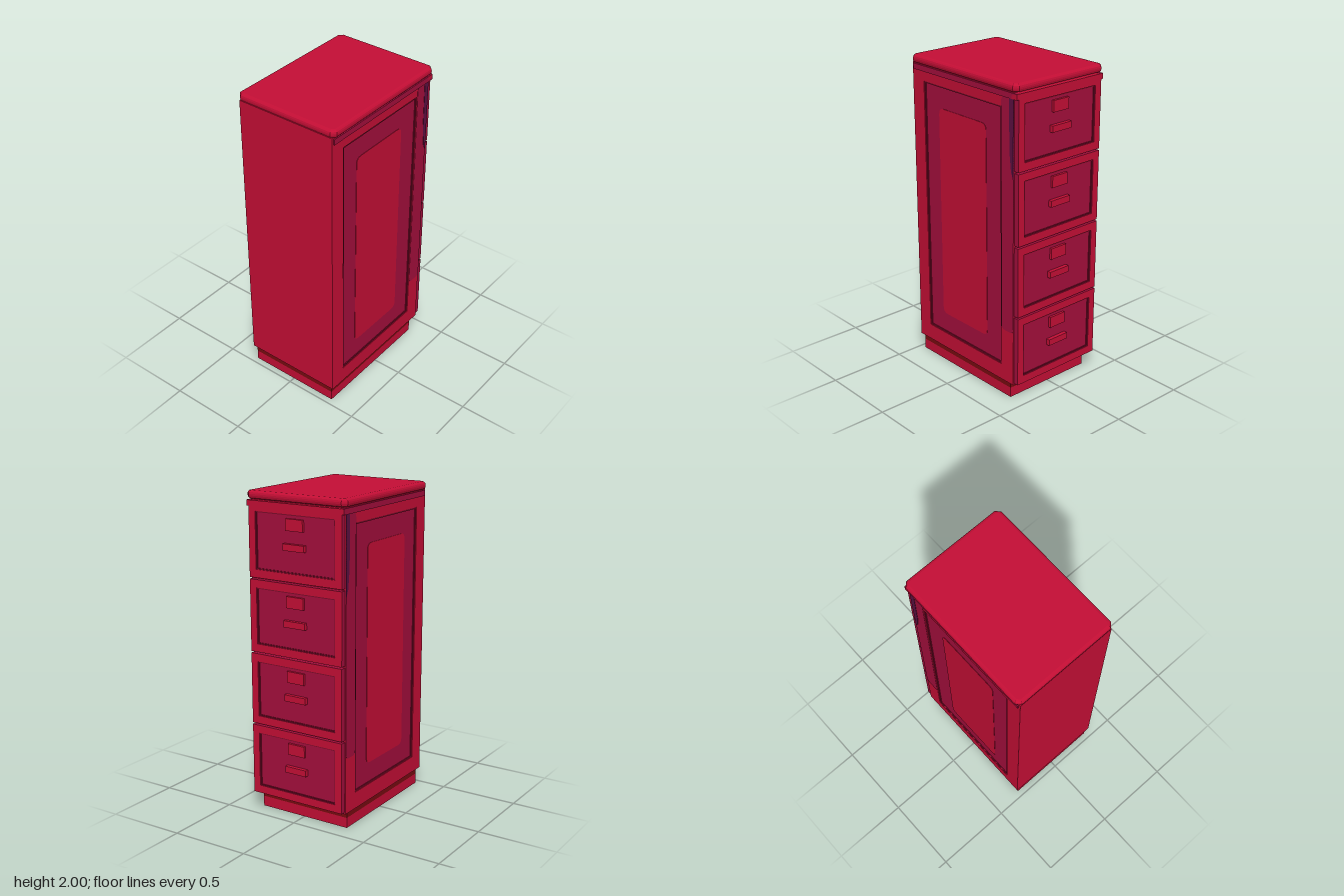
import * as THREE from 'three';

const mat = (name, color) => new THREE.MeshStandardMaterial({ name, color });

// Rectangle outline with optional rounded corners
function rect(target, u0, u1, v0, v1, r = 0) {
  if (!r) {
    target.moveTo(u0, v0).lineTo(u1, v0).lineTo(u1, v1).lineTo(u0, v1).closePath();
    return target;
  }
  target.moveTo(u0 + r, v0).lineTo(u1 - r, v0).quadraticCurveTo(u1, v0, u1, v0 + r);
  target.lineTo(u1, v1 - r).quadraticCurveTo(u1, v1, u1 - r, v1);
  target.lineTo(u0 + r, v1).quadraticCurveTo(u0, v1, u0, v1 - r);
  target.lineTo(u0, v0 + r).quadraticCurveTo(u0, v0, u0 + r, v0);
  return target;
}

function ring(outer, inner) {
  const shape = rect(new THREE.Shape(), ...outer);
  shape.holes.push(rect(new THREE.Path(), ...inner));
  return shape;
}

const extrude = (shape, depth) =>
  new THREE.ExtrudeGeometry(shape, { depth, bevelEnabled: false, curveSegments: 4 });

export function createModel() {
  const red = mat('cabinetRed', 0xc40e35);
  const crimson = mat('panelCrimson', 0xa40e3c);
  const lipRed = mat('darkLipRed', 0x7c0a28);
  const brown = mat('plinthBrown', 0x780b10);
  const plum = mat('darkPlum', 0x5c1042);

  const model = new THREE.Group();
  model.name = 'filingCabinet';

  function add(parent, name, geometry, material, x = 0, y = 0, z = 0) {
    const mesh = new THREE.Mesh(geometry, material);
    mesh.name = name;
    mesh.position.set(x, y, z);
    parent.add(mesh);
    return mesh;
  }
  // Box given by its limits on each axis
  function box(parent, name, material, [x0, x1], [y0, y1], [z0, z1]) {
    return add(parent, name, new THREE.BoxGeometry(x1 - x0, y1 - y0, z1 - z0), material,
      (x0 + x1) / 2, (y0 + y1) / 2, (z0 + z1) / 2);
  }

  // Plinth with a dark upper band
  box(model, 'plinth', red, [-0.31, 0.31], [0, 0.065], [-0.385, 0.46]);
  box(model, 'plinthBand', brown, [-0.31, 0.31], [0.065, 0.11], [-0.385, 0.46]);

  // Carcass core; the side frames complete its width
  box(model, 'carcass', red, [-0.318, 0.318], [0.11, 1.955], [-0.43, 0.473]);

  // Worktop with clipped corners and a rolled edge
  const b = 0.02, c = 0.015, X = 0.347 - b, Z0 = -0.465 + b, Z1 = 0.475 - b;
  const topShape = new THREE.Shape([
    [-X + c, -Z1], [X - c, -Z1], [X, -Z1 + c], [X, -Z0 - c],
    [X - c, -Z0], [-X + c, -Z0], [-X, -Z0 - c], [-X, -Z1 + c],
  ].map(([x, y]) => new THREE.Vector2(x, y)));
  const topGeometry = new THREE.ExtrudeGeometry(topShape, {
    depth: 0.01, bevelThickness: 0.02, bevelSize: b, bevelSegments: 3,
  });
  topGeometry.rotateX(-Math.PI / 2);
  add(model, 'top', topGeometry, red, 0, 1.97, 0);

  // Sides: frame, recessed panel with a lighter field, and rail under the top
  for (const s of [1, -1]) {
    const side = new THREE.Group();
    side.name = s > 0 ? 'leftSide' : 'rightSide';
    model.add(side);
    const span = (a, d) => (s > 0 ? [a, d] : [-d, -a]);
    const plate = (name, shape, material, a, d) => {
      const geometry = extrude(shape, d - a).rotateY(-Math.PI / 2);
      add(side, name, geometry, material, span(a, d)[1]);
    };
    plate('sideFrame', ring([-0.43, 0.473, 0.11, 1.955], [-0.325, 0.37, 0.215, 1.85]),
      red, 0.318, 0.33);
    plate('panelLip', ring([-0.325, 0.37, 0.215, 1.85], [-0.315, 0.36, 0.225, 1.84]),
      lipRed, 0.318, 0.326);
    box(side, 'sidePanel', crimson, span(0.318, 0.32), [0.225, 1.84], [-0.315, 0.36]);
    plate('panelField', rect(new THREE.Shape(), -0.185, 0.24, 0.35, 1.71, 0.04),
      red, 0.319, 0.3225);
    // Darker stile beside the drawers
    plate('stile', rect(new THREE.Shape(), -0.43, -0.327, 0.46, 1.91, 0.03),
      crimson, 0.328, 0.332);
    plate('stileShade', new THREE.Shape([
      [-0.43, 1.44], [-0.412, 1.48], [-0.398, 1.6], [-0.395, 1.91], [-0.43, 1.91],
    ].map(([z, y]) => new THREE.Vector2(z, y))), plum, 0.329, 0.334);
    box(side, 'sideRail', crimson, span(0.318, 0.338), [1.91, 1.945], [-0.462, 0.46]);
  }

  // Rail above the drawers
  box(model, 'drawerRail', red, [-0.338, 0.338], [1.912, 1.944], [-0.464, -0.42]);

  // Four drawers with recessed faces, label plates and pulls
  for (let i = 0; i < 4; i++) {
    const drawer = new THREE.Group();
    drawer.name = 'drawer' + (i + 1);
    drawer.position.y = 0.122 + i * 0.4553;
    model.add(drawer);
    const h = i < 3 ? 0.444 : 0.43;
    box(drawer, 'drawerBody', crimson, [-0.324, 0.324], [0, h], [-0.453, -0.429]);
    add(drawer, 'drawerFrame',
      extrude(ring([-0.324, 0.324, 0, h], [-0.277, 0.277, 0.05, 0.395]), 0.012),
      [red, crimson], 0, 0, -0.464);
    add(drawer, 'faceLip',
      extrude(ring([-0.277, 0.277, 0.05, 0.395], [-0.27, 0.27, 0.057, 0.388]), 0.006),
      lipRed, 0, 0, -0.458);
    box(drawer, 'labelPlate', red, [-0.06, 0.06], [0.3, 0.37], [-0.468, -0.452]);
    box(drawer, 'pull', red, [-0.075, 0.075], [0.185, 0.225], [-0.477, -0.452]);
  }

  return model;
}
